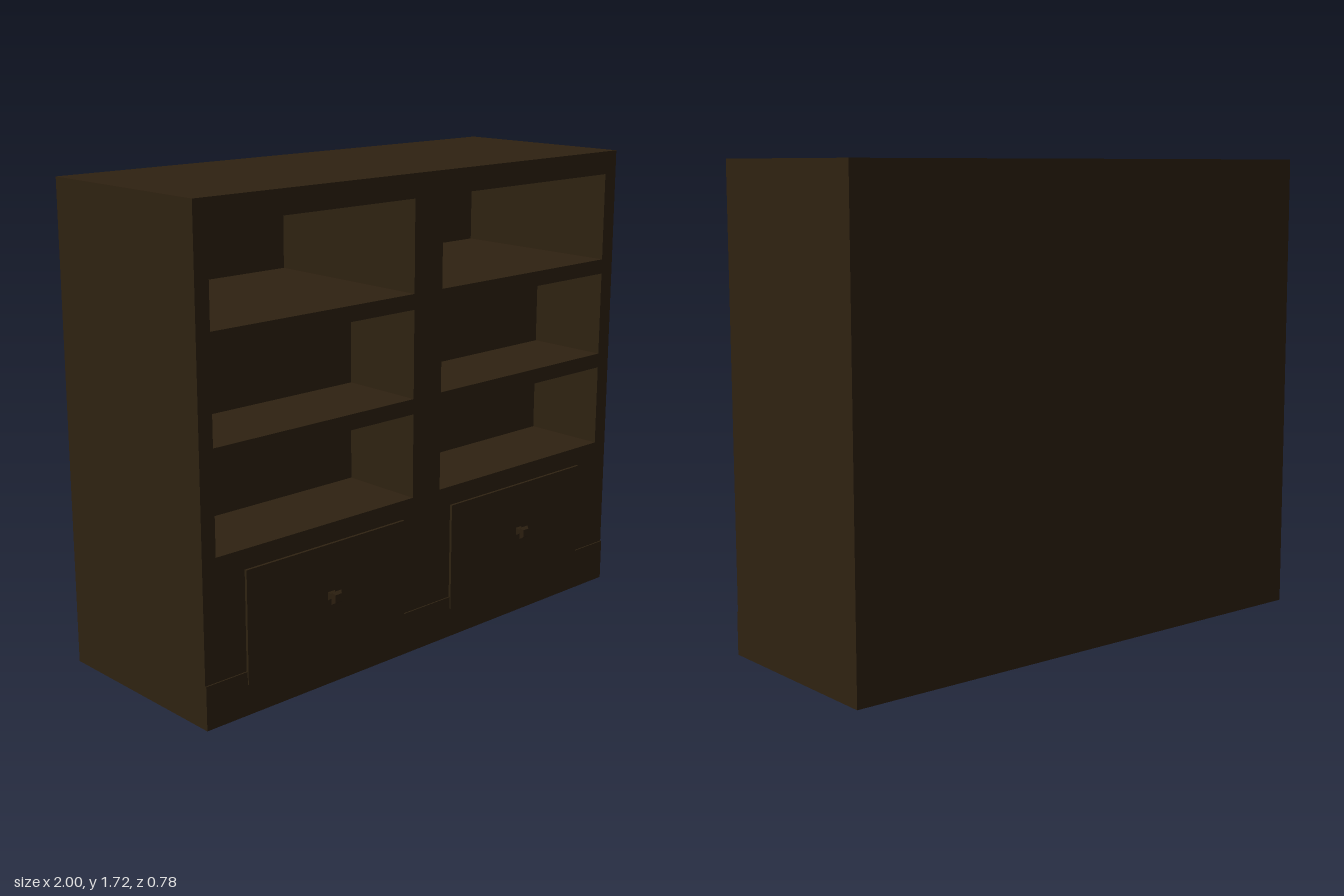
import * as THREE from 'three';

const WIDTH = 2, HEIGHT = 1.72, BACK = -0.39, FRONT = 0.348;
const COLUMNS = [[-0.945, -0.07], [0.065, 0.94]];
const TOP_ROW = [[1.31, 1.635]];
const ALL_ROWS = [...TOP_ROW, [0.94, 1.255], [0.58, 0.885]];

function rectangle(path, x0, y0, x1, y1) {
  path.moveTo(x0, y0);
  path.lineTo(x1, y0);
  path.lineTo(x1, y1);
  path.lineTo(x0, y1);
  path.closePath();
  return path;
}

export function createModel() {
  const group = new THREE.Group();
  const wood = new THREE.MeshStandardMaterial({ color: 0x2f2211 });
  wood.name = 'dark wood';

  const add = (name, geometry, x = 0, y = 0, z = 0) => {
    const mesh = new THREE.Mesh(geometry, wood);
    mesh.name = name;
    mesh.position.set(x, y, z);
    group.add(mesh);
  };

  // A full-size slice of the cabinet, pierced by the shelf openings
  const addLayer = (name, rows, z0, z1) => {
    const shape = rectangle(new THREE.Shape(), -WIDTH / 2, 0, WIDTH / 2, HEIGHT);
    for (const [x0, x1] of COLUMNS)
      for (const [y0, y1] of rows)
        shape.holes.push(rectangle(new THREE.Path(), x0, y0, x1, y1));
    const geometry = new THREE.ExtrudeGeometry(shape, { depth: z1 - z0, bevelEnabled: false });
    add(name, geometry, 0, 0, z0);
  };

  // Lower shelves are shallow; the top row reaches nearly to the back
  addLayer('shelfFrame', ALL_ROWS, 0.028, FRONT);
  addLayer('deepTopShelves', TOP_ROW, -0.34, 0.028);
  addLayer('backPanel', [], BACK, -0.34);

  // Slightly raised plinth
  add('plinth', new THREE.BoxGeometry(WIDTH, 0.155, 0.006), 0, 0.0775, FRONT + 0.002);

  // Doors, each with a square flared knob
  const knobProfile = [[0, 0], [0.022, 0], [0.01, 0.012], [0.031, 0.026], [0.02, 0.038], [0, 0.038]]
    .map(([r, h]) => new THREE.Vector2(r, h));
  const knob = new THREE.LatheGeometry(knobProfile, 4).toNonIndexed();
  knob.rotateY(Math.PI / 4);
  knob.rotateX(Math.PI / 2);
  knob.computeVertexNormals();

  for (const [side, x, knobX] of [['right', -0.475, -0.465], ['left', 0.475, 0.487]]) {
    add(side + 'Door', new THREE.BoxGeometry(0.71, 0.4, 0.014), x, 0.31, 0.351);
    add(side + 'Knob', knob, knobX, 0.325, 0.357);
  }
  return group;
}
